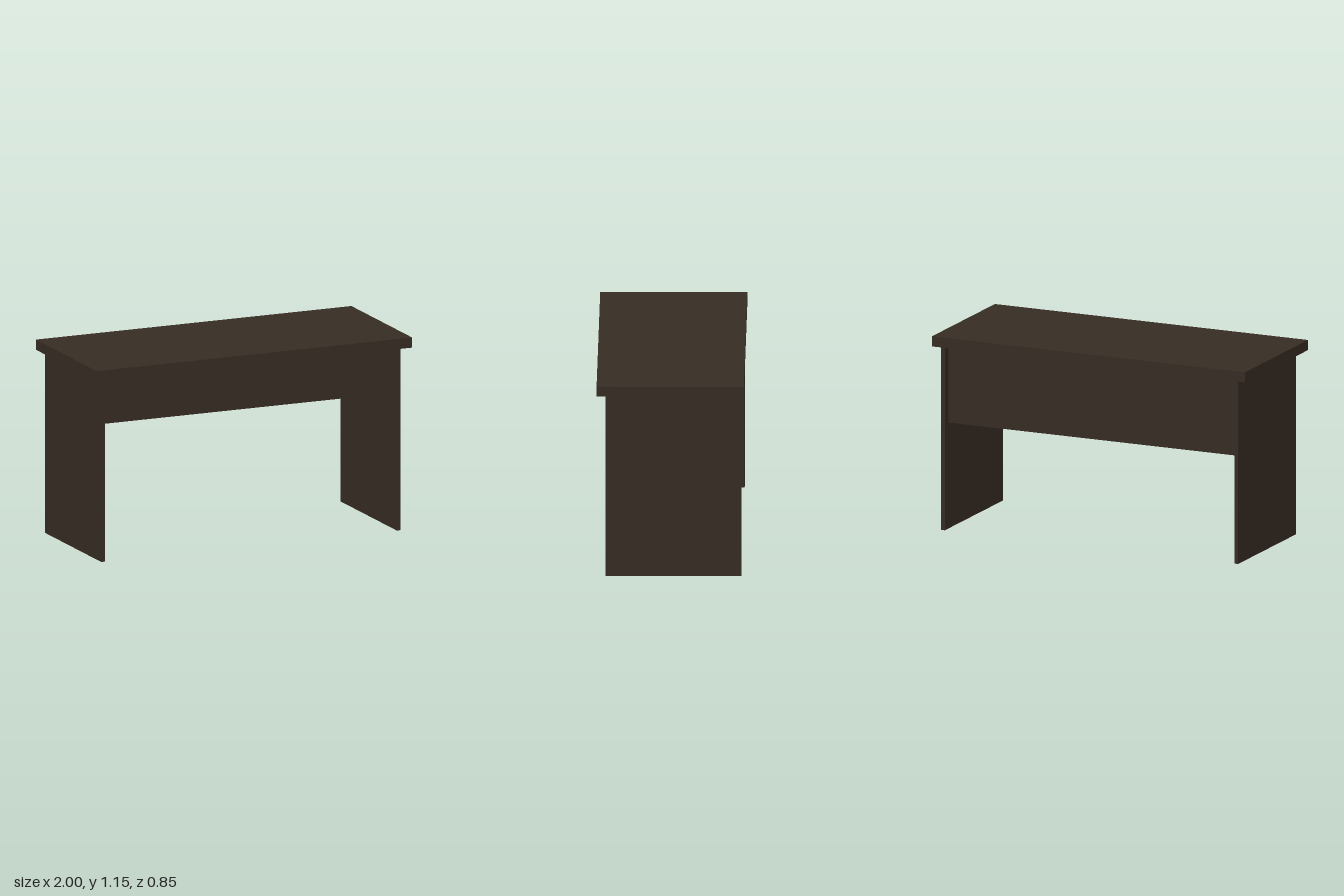
import * as THREE from 'three';

export function createModel() {
  const desk = new THREE.Group();
  desk.name = 'desk';
  const darkWood = new THREE.MeshStandardMaterial({ color: 0x362c23 });
  darkWood.name = 'darkWood';

  // Box board given by its minimum and maximum corners
  function board(name, [x0, y0, z0], [x1, y1, z1]) {
    const mesh = new THREE.Mesh(new THREE.BoxGeometry(x1 - x0, y1 - y0, z1 - z0), darkWood);
    mesh.name = name;
    mesh.position.set((x0 + x1) / 2, (y0 + y1) / 2, (z0 + z1) / 2);
    desk.add(mesh);
    return mesh;
  }

  // Thick top overhanging the legs
  board('desktop', [-1, 1.09, -0.425], [1, 1.15, 0.425]);

  // Full-depth slab legs
  board('leftLeg', [0.925, 0, -0.41], [0.948, 1.09, 0.375]);
  board('rightLeg', [-0.948, 0, -0.41], [-0.925, 1.09, 0.375]);

  // Modesty panel, set in slightly from the back edge of the legs
  board('modestyPanel', [-0.925, 0.63, -0.36], [0.925, 1.09, -0.337]);

  return desk;
}
